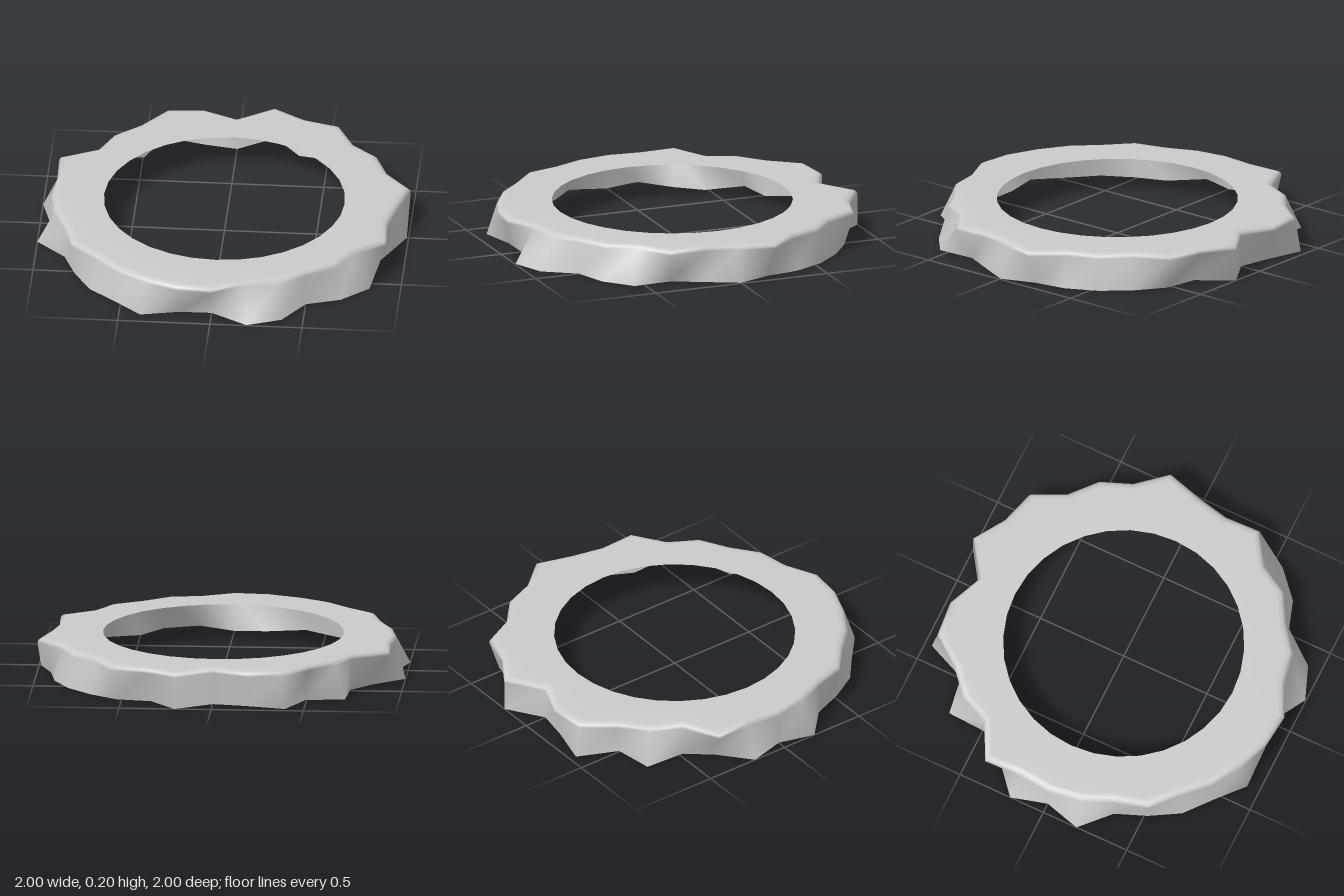
import * as THREE from 'three';

const INNER_RADIUS = 0.653;
const HEIGHT = 0.2;

// Rim radii every 11.25 degrees, starting at the back and turning towards +x
const TOP_RADII = [
  0.87, 1.02, 0.965, 1.005, 0.92, 0.95, 0.93, 1.015,
  0.94, 0.92, 0.985, 0.89, 0.92, 0.89, 0.92, 0.90,
  0.965, 0.965, 0.95, 0.94, 0.92, 0.95, 0.91, 0.93,
  0.94, 0.94, 1.005, 0.875, 0.92, 0.925, 1.01, 0.97,
];
const BOTTOM_RADII = [
  0.87, 1.02, 0.89, 0.95, 0.96, 0.97, 0.965, 0.94,
  0.99, 0.92, 0.89, 1.0, 0.97, 0.90, 1.0, 1.015,
  0.88, 0.90, 1.005, 0.96, 0.96, 0.93, 0.91, 1.02,
  0.945, 1.02, 0.90, 0.865, 1.0, 0.89, 1.04, 0.92,
];

// Cross-section from the wall foot, over the rounded shoulder, to the hole
function section(top, bottom) {
  return [
    [bottom, 0],
    [top, 0.172],
    [top - 0.006, 0.186],
    [top - 0.02, 0.196],
    [top - 0.045, HEIGHT],
    [INNER_RADIUS, HEIGHT],
  ];
}

function jaggedShell() {
  const count = TOP_RADII.length;
  const positions = [];
  const indices = [];
  let rows = 0;

  for (let k = 0; k < count; k++) {
    const angle = (k / count) * Math.PI * 2;
    const profile = section(TOP_RADII[k], BOTTOM_RADII[k]);
    rows = profile.length;
    for (const [r, y] of profile) {
      positions.push(r * Math.sin(angle), y, -r * Math.cos(angle));
    }
  }

  for (let k = 0; k < count; k++) {
    const next = (k + 1) % count;
    for (let j = 0; j < rows - 1; j++) {
      const a = k * rows + j;
      const b = next * rows + j;
      indices.push(b, a, a + 1, b, a + 1, b + 1);
    }
  }

  const geometry = new THREE.BufferGeometry();
  geometry.setAttribute('position', new THREE.Float32BufferAttribute(positions, 3));
  geometry.setIndex(indices);
  geometry.computeVertexNormals();
  return geometry;
}

export function createModel() {
  const model = new THREE.Group();
  model.name = 'jaggedRing';

  // Thin open shell: flat top with a round hole and an uneven outer skirt
  const material = new THREE.MeshStandardMaterial({ color: 0xcccccc, side: THREE.DoubleSide });
  const shell = new THREE.Mesh(jaggedShell(), material);
  shell.name = 'ringShell';
  model.add(shell);

  return model;
}
